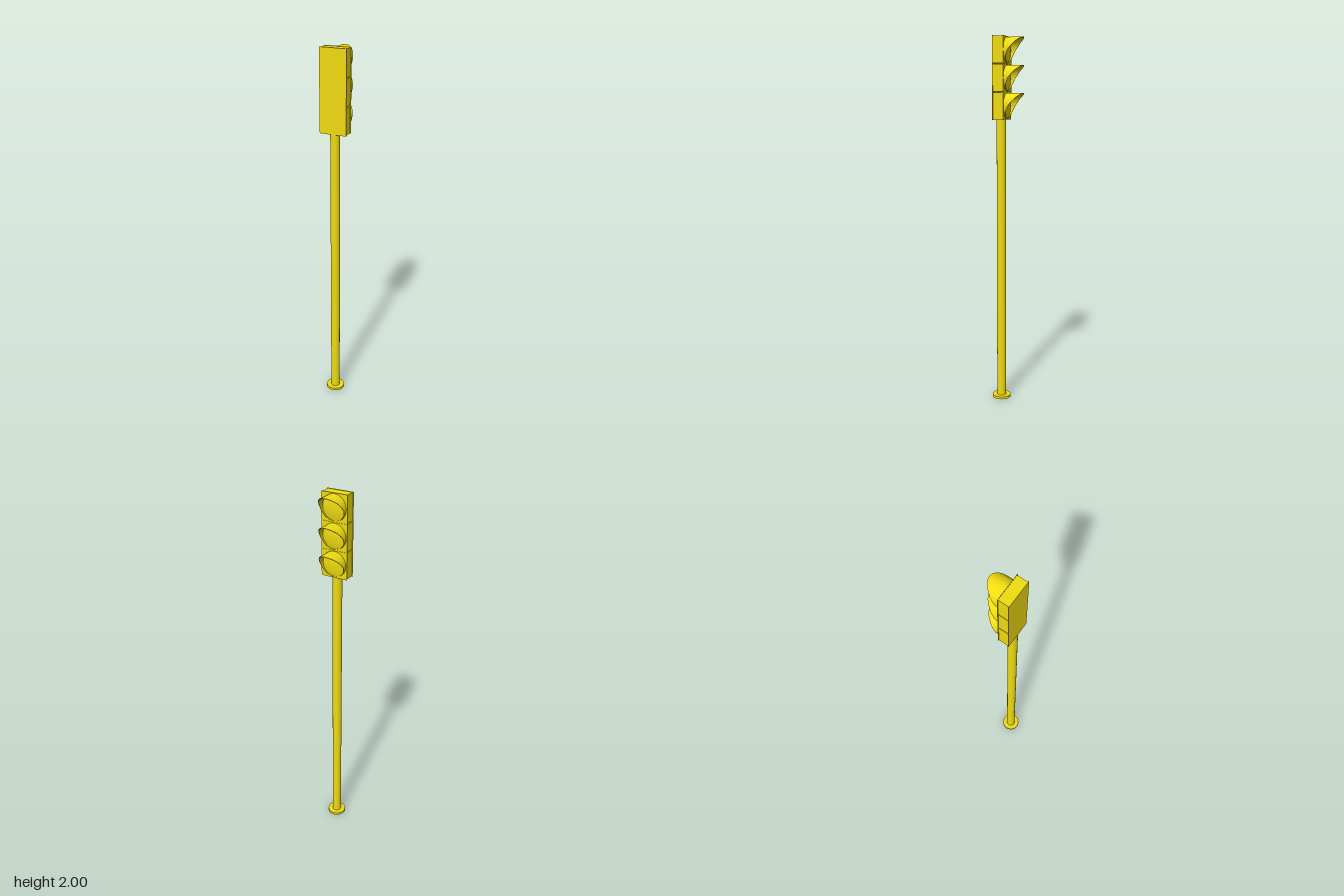
import * as THREE from 'three';
import { toCreasedNormals } from 'three/addons/utils/BufferGeometryUtils.js';

const SIDES = 28;
const POLE_Z = 0.036;
const HOUSING_BOTTOM = 1.566;
const SECTION = (2 - HOUSING_BOTTOM) / 3;

// Reach of the visor at a height above the lens centre
const REACH = [[-0.068, 0.004], [-0.03, 0.012], [0, 0.025], [0.04, 0.057], [0.068, 0.092]];
function reachAt(y) {
  for (let i = 1; i < REACH.length; i++) {
    const [y0, r0] = REACH[i - 1], [y1, r1] = REACH[i];
    if (y <= y1 || i === REACH.length - 1) return r0 + (r1 - r0) * (y - y0) / (y1 - y0);
  }
}

// Thin tube along -z whose open end is cut back toward the bottom
function visorGeometry(radius, wall) {
  const pos = [], idx = [];
  for (let i = 0; i <= SIDES; i++) {
    const a = (i / SIDES) * Math.PI * 2;
    const c = Math.sin(a), s = Math.cos(a), front = -reachAt(s * radius);
    for (const [r, z] of [[radius, 0], [radius, front], [radius - wall, front], [radius - wall, 0]]) {
      pos.push(c * r, s * r, z);
    }
  }
  for (let i = 0; i < SIDES; i++) {
    for (let j = 0; j < 3; j++) {
      const a = i * 4 + j, b = a + 4;
      idx.push(a, a + 1, b, b, a + 1, b + 1);
    }
  }
  const geo = new THREE.BufferGeometry();
  geo.setAttribute('position', new THREE.Float32BufferAttribute(pos, 3));
  geo.setIndex(idx);
  return toCreasedNormals(geo, Math.PI / 5);
}

export function createModel() {
  const model = new THREE.Group();
  const yellow = new THREE.MeshStandardMaterial({ color: 0xf0dc10 });
  const yellowThin = new THREE.MeshStandardMaterial({ color: 0xf0dc10, side: THREE.DoubleSide });

  function add(parent, name, geo, x, y, z, material = yellow) {
    const mesh = new THREE.Mesh(geo, material);
    mesh.name = name;
    mesh.position.set(x, y, z);
    parent.add(mesh);
    return mesh;
  }

  // Foot and pole
  add(model, 'baseDisc', new THREE.CylinderGeometry(0.051, 0.051, 0.014, 24), 0, 0.007, POLE_Z);
  const poleTop = HOUSING_BOTTOM + 0.006;
  add(model, 'pole', new THREE.CylinderGeometry(0.025, 0.025, poleTop, 24), 0, poleTop / 2, POLE_Z);

  // Plate covering the lamp housings on the side away from the lenses
  add(model, 'backPlate', new THREE.BoxGeometry(0.148, 3 * SECTION, 0.003), 0, HOUSING_BOTTOM + 1.5 * SECTION, 0.0615);

  // Shallow domed lens, turned to face -z
  const dome = [[0, 0.008], [0.02, 0.0073], [0.04, 0.005], [0.055, 0.0022], [0.064, 0]];
  const lensGeo = new THREE.LatheGeometry(dome.map(([r, h]) => new THREE.Vector2(r, h)).reverse(), SIDES);
  lensGeo.rotateX(-Math.PI / 2);
  const visorGeo = visorGeometry(0.068, 0.003);

  // Three stacked lamp units
  ['lowerLamp', 'middleLamp', 'upperLamp'].forEach((name, i) => {
    const lamp = new THREE.Group();
    lamp.name = name;
    lamp.position.y = HOUSING_BOTTOM + (i + 0.5) * SECTION;
    add(lamp, 'housing', new THREE.BoxGeometry(0.14, SECTION - 0.005, 0.055), 0, 0, 0.0335);
    add(lamp, 'facePlate', new THREE.BoxGeometry(0.148, SECTION - 0.001, 0.003), 0, 0, 0.0045);
    add(lamp, 'lens', lensGeo, 0, 0, 0.003, yellowThin);
    add(lamp, 'visor', visorGeo, 0, 0, 0.004, yellowThin);
    model.add(lamp);
  });

  return model;
}
